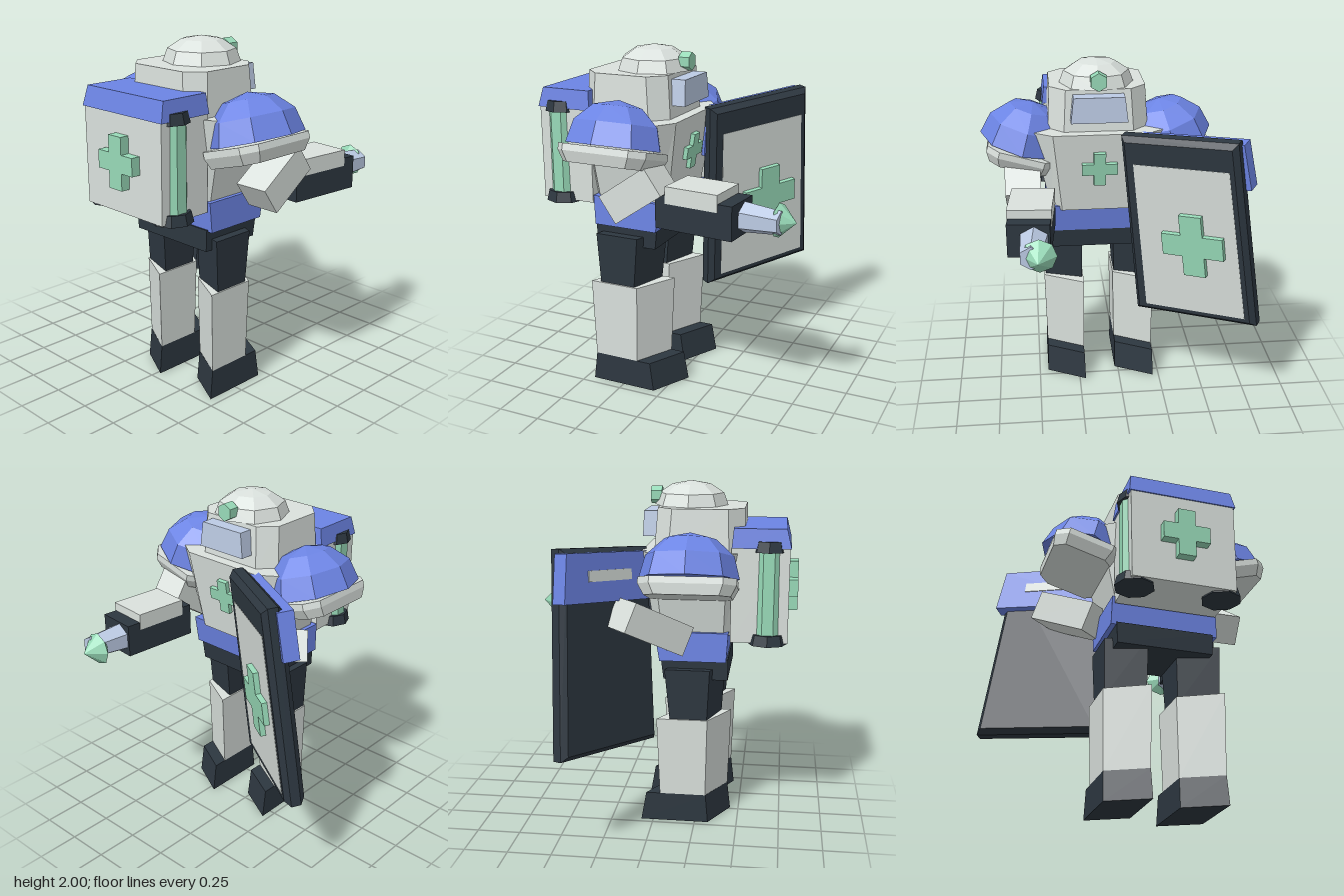
import * as THREE from 'three';

const mat = (name, color) => {
  const m = new THREE.MeshStandardMaterial({ color });
  m.name = name;
  return m;
};
const MID = 0.112; // z of the body's own centre plane

// Eight-cornered (or four-cornered, cut = 0) outline of a rectangle [x0, x1, z0, z1]
function outline([x0, x1, z0, z1], cx, cz = cx) {
  if (!cx) return [[x0, z0], [x0, z1], [x1, z1], [x1, z0]];
  return [[x0 + cx, z0], [x0, z0 + cz], [x0, z1 - cz], [x0 + cx, z1],
    [x1 - cx, z1], [x1, z1 - cz], [x1, z0 + cz], [x1 - cx, z0]];
}

// Faceted solid from stacked levels: [y, rectangle, cutX, cutZ]; skew shifts x along -z
function stack(levels, skew = 0) {
  const rings = levels.map(([y, r, cx = 0, cz]) =>
    outline(r, cx, cz).map(([x, z]) => [x + skew * (r[3] - z), y, z]));
  const pos = [];
  const tri = (a, b, c) => pos.push(...a, ...b, ...c);
  const n = rings[0].length, low = rings[0], top = rings[rings.length - 1];
  for (let k = 0; k + 1 < rings.length; k++) {
    for (let i = 0; i < n; i++) {
      const j = (i + 1) % n, a = rings[k], b = rings[k + 1];
      tri(a[i], a[j], b[j]);
      tri(a[i], b[j], b[i]);
    }
  }
  for (let i = 1; i + 1 < n; i++) {
    tri(top[0], top[i], top[i + 1]);
    tri(low[0], low[i + 1], low[i]);
  }
  const g = new THREE.BufferGeometry();
  g.setAttribute('position', new THREE.Float32BufferAttribute(pos, 3));
  g.computeVertexNormals();
  return g;
}

const faceted = (g) => {
  const f = g.toNonIndexed();
  f.computeVertexNormals();
  return f;
};

const lathe = (pts, sides) => faceted(new THREE.LatheGeometry(pts.map((p) => new THREE.Vector2(...p)), sides));

// Eight-sided dome with vertices on the axes
const dome = (r, h) => lathe(
  [[0, 0], [1, 0], [0.88, 0.5], [0.52, 0.86], [0, 1]].map(([a, b]) => [a * r, b * h]), 8);

// Flat outline extruded towards +z
function plate(pts, depth, bevel = 0) {
  const s = new THREE.Shape(pts.map((p) => new THREE.Vector2(...p)));
  return new THREE.ExtrudeGeometry(s, {
    depth, bevelEnabled: bevel > 0, bevelThickness: bevel, bevelSize: bevel, bevelOffset: -bevel, bevelSegments: 1,
  });
}

// Plus sign facing +z, resting on z = 0
function cross(w, h, arm, depth) {
  const a = arm / 2, x = w / 2, y = h / 2;
  return plate([[-a, -y], [a, -y], [a, -a], [x, -a], [x, a], [a, a], [a, y], [-a, y],
    [-a, a], [-x, a], [-x, -a], [-a, -a]], depth);
}

export function createModel() {
  const grey = mat('armourGrey', 0xdae1dd);
  const blue = mat('armourBlue', 0x6c84e4);
  const dark = mat('darkSteel', 0x2d3740);
  const green = mat('medicGreen', 0x98dab8);
  const glass = mat('paleBlue', 0xbccbe4);

  const model = new THREE.Group();
  model.name = 'armouredMedic';
  const none = [0, 0, 0];
  // Rotation is applied about z, then x, then y
  const add = (name, geo, m, p = none, r = none, parent = model) => {
    const mesh = new THREE.Mesh(geo, m);
    mesh.name = name;
    mesh.position.set(...p);
    mesh.rotation.set(...r, 'YXZ');
    parent.add(mesh);
    return mesh;
  };
  const rect = (x0, x1, half) => [x0, x1, MID - half, MID + half];

  // Legs, with skewed footprints
  for (const z of [0.33, -0.097]) {
    const leg = new THREE.Group();
    leg.name = 'leg';
    leg.position.z = z;
    model.add(leg);
    const part = (name, m, skew, levels) => add(name, stack(levels, skew), m, none, none, leg);
    part('boot', dark, 0.52, [[0, [-0.45, -0.05, -0.117, 0.117]], [0.17, [-0.43, -0.075, -0.113, 0.113]]]);
    part('shin', grey, 0.53, [[0.17, [-0.43, -0.16, -0.113, 0.113]], [0.64, [-0.445, -0.147, -0.12, 0.12]]]);
    part('thigh', dark, 0.33, [[0.6, [-0.385, -0.173, -0.11, 0.11]], [0.94, [-0.405, -0.143, -0.117, 0.117]]]);
  }

  // Trunk
  add('hips', stack([[0.875, rect(-0.43, -0.055, 0.28)], [1, rect(-0.43, -0.04, 0.285)]]), dark);
  add('waist', stack([[0.99, rect(-0.42, -0.035, 0.315)], [1.16, rect(-0.43, -0.005, 0.31)]]), blue);
  add('torso', stack([[1.135, rect(-0.45, 0, 0.28), 0.05, 0.06], [1.62, rect(-0.5, 0.075, 0.385), 0.08, 0.12]]), grey);
  add('chestCross', cross(0.205, 0.205, 0.07, 0.035), green, [0.033, 1.412, MID], [0.16, Math.PI / 2, 0]);

  // Helmet
  add('helmetBase', stack([[1.6, rect(-0.515, 0.01, 0.29), 0.09], [1.86, rect(-0.505, -0.01, 0.275), 0.09]]), grey);
  add('helmetDome', dome(0.215, 0.14), grey, [-0.185, 1.86, MID]);
  add('visor', stack([[1.69, rect(-0.06, 0.08, 0.162)], [1.835, rect(-0.06, 0.075, 0.145)]]), glass);
  add('headLamp', faceted(new THREE.CylinderGeometry(0.052, 0.052, 0.065, 6, 1, false, Math.PI / 6)), green,
    [0.018, 1.915, MID], [0, 0, Math.PI / 2]);

  // Backpack
  add('backpack', stack([[1.11, rect(-0.765, -0.44, 0.3)], [1.66, rect(-0.765, -0.44, 0.305)]]), grey);
  add('backpackLid', stack([[1.65, rect(-0.772, -0.44, 0.315)], [1.76, rect(-0.745, -0.45, 0.3)]]), blue);
  add('backCross', cross(0.27, 0.29, 0.1, 0.055), green, [-0.763, 1.4, MID], [0, -Math.PI / 2, 0]);

  for (const s of [1, -1]) {
    // Side canisters
    const zc = MID + s * 0.252;
    const ring = (r0, r1, h) => faceted(new THREE.CylinderGeometry(r1, r0, h, 8));
    add('canister', ring(0.083, 0.083, 0.48), green, [-0.65, 1.395, zc], [0, Math.PI / 8, 0]);
    add('canisterFoot', ring(0.115, 0.1, 0.06), dark, [-0.65, 1.13, zc]);
    add('canisterCap', ring(0.1, 0.085, 0.06), dark, [-0.65, 1.66, zc]);

    // Shoulder guards, tilted up towards the outside
    const guard = new THREE.Group();
    guard.name = 'shoulderGuard';
    guard.position.set(-0.215, 1.497, MID + s * 0.44);
    guard.rotation.x = -s * 0.28;
    model.add(guard);
    add('shoulderDome', dome(0.28, 0.255), blue, none, none, guard).scale.z = 0.9;
    add('shoulderRim', stack([
      [-0.105, [-0.24, 0.23, -0.19, 0.17], 0.06],
      [-0.045, [-0.27, 0.265, -0.205, 0.2], 0.07],
      [-0.008, [-0.27, 0.265, -0.205, 0.2], 0.07]]), grey, none, none, guard);
  }

  // Upper arms, the left one swung out behind the shield
  add('rightUpperArm', new THREE.BoxGeometry(0.335, 0.175, 0.205), grey, [-0.07, 1.265, 0.555], [0, 0, 0.61]);
  add('leftUpperArm', new THREE.BoxGeometry(0.42, 0.175, 0.205), grey, [0, 1.22, -0.33], [0, 0.7, 0.45]);

  // Forearm with injector
  const arm = new THREE.Group();
  arm.name = 'rightForearm';
  arm.position.set(0.3, 1.19, 0.513);
  arm.rotation.y = -0.09;
  model.add(arm);
  add('gauntlet', new THREE.BoxGeometry(0.46, 0.19, 0.235), dark, none, none, arm);
  add('gauntletPlate', new THREE.BoxGeometry(0.315, 0.095, 0.245), grey, [-0.01, 0.098, 0], none, arm);
  add('injector', faceted(new THREE.CylinderGeometry(0.066, 0.088, 0.24, 6, 1, false, Math.PI / 6)), glass,
    [0.32, 0, -0.03], [0, 0, -Math.PI / 2], arm);
  add('injectorTip', lathe([[0, -0.06], [0.095, 0], [0, 0.1]], 8), green, [0.41, 0, -0.07], [0, 0, -Math.PI / 2], arm);

  // Shield, in its own leaning frame
  const shield = new THREE.Group();
  shield.name = 'shield';
  const u = new THREE.Vector3(0.54, 0.085, -0.835).normalize();
  const v = new THREE.Vector3(0.035, 0.993, 0.124).normalize();
  const n = new THREE.Vector3().crossVectors(u, v).normalize();
  shield.quaternion.setFromRotationMatrix(new THREE.Matrix4().makeBasis(u, v, n));
  shield.position.set(0.245, 1.095, -0.39);
  model.add(shield);
  add('shieldBody', plate([[-0.385, -0.57], [0.385, -0.57], [0.35, 0.57], [-0.35, 0.57]], 0.055, 0.03),
    dark, [0, 0, -0.015], none, shield);
  add('shieldPanel', plate([[-0.305, -0.515], [0.325, -0.515], [0.298, 0.41], [-0.28, 0.41]], 0.008),
    grey, [0, 0, 0.064], none, shield);
  add('shieldCross', cross(0.375, 0.385, 0.135, 0.035), green, [0.05, -0.06, 0.068], none, shield);
  add('shieldBand', plate([[-0.37, 0.27], [0.39, 0.28], [0.365, 0.545], [-0.345, 0.545]], 0.09),
    blue, [0, 0, -0.09], none, shield);
  add('shieldSlot', plate([[-0.13, 0.39], [0.21, 0.39], [0.21, 0.45], [-0.13, 0.45]], 0.006),
    grey, [0, 0, -0.095], none, shield);
  return model;
}
